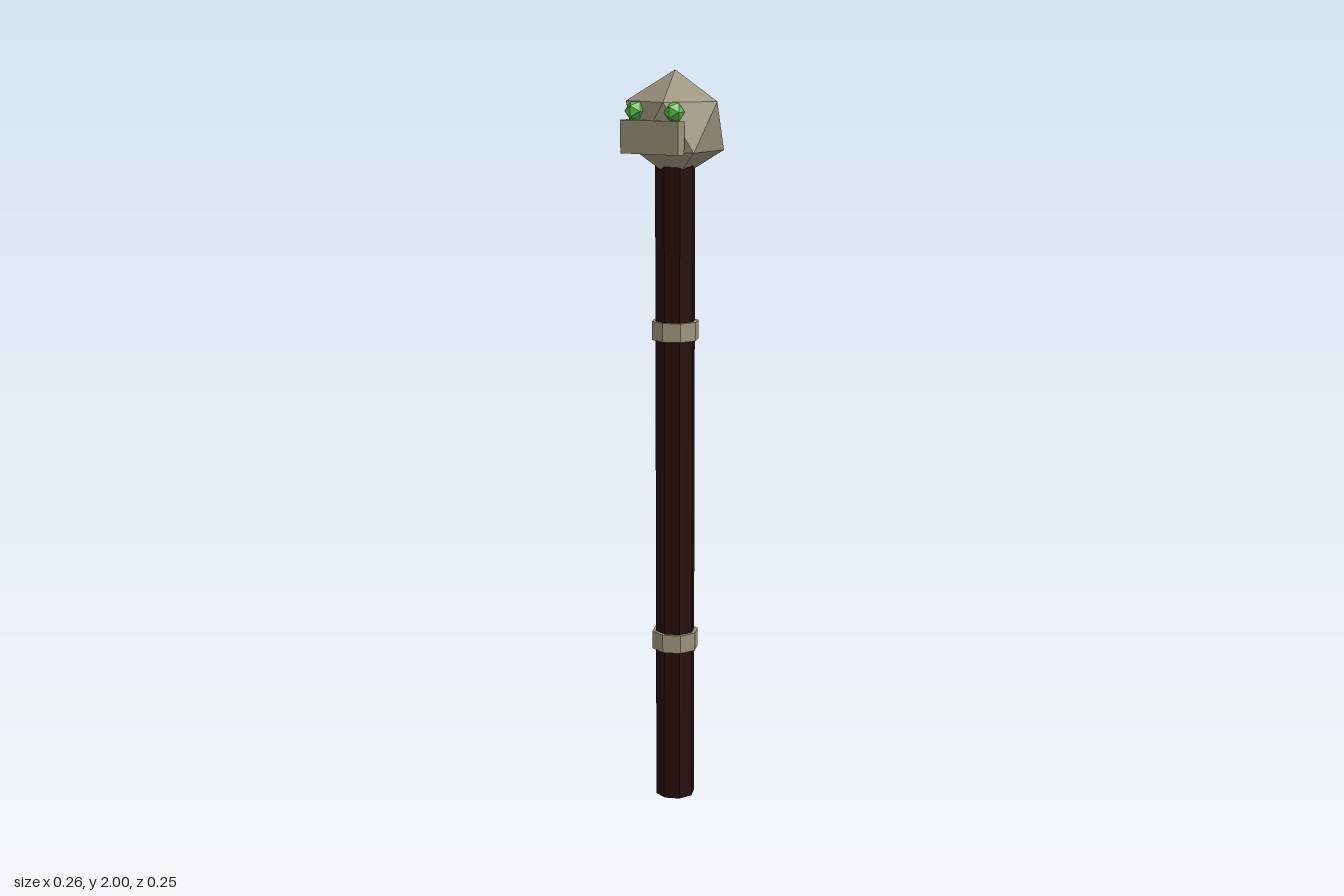
import * as THREE from 'three';

const material = (name, color) => {
  const m = new THREE.MeshStandardMaterial({ color });
  m.name = name;
  return m;
};

// Give every face its own normal for the low-poly look
function faceted(geometry) {
  const g = geometry.index ? geometry.toNonIndexed() : geometry;
  g.computeVertexNormals();
  return g;
}

export function createModel() {
  const group = new THREE.Group();
  group.name = 'staff';
  const wood = material('darkWood', 0x260d0c);
  const stone = material('stone', 0x9c937c);
  const gem = material('greenGem', 0x55bb44);
  const axisZ = -0.004;

  const add = (name, geometry, mat, x, y, z) => {
    const mesh = new THREE.Mesh(faceted(geometry), mat);
    mesh.name = name;
    mesh.position.set(x, y, z);
    group.add(mesh);
    return mesh;
  };

  // Octagonal shaft, ending inside the head
  const shaftTop = 1.76;
  add('shaft', new THREE.CylinderGeometry(0.054, 0.054, shaftTop, 8), wood, 0, shaftTop / 2, axisZ);

  // Two bands around the shaft
  add('lowerBand', new THREE.CylinderGeometry(0.064, 0.064, 0.05, 8), stone, 0, 0.453, axisZ);
  add('upperBand', new THREE.CylinderGeometry(0.064, 0.064, 0.05, 8), stone, 0, 1.316, axisZ);

  // Head: icosahedron turned to stand on one corner
  const headRadius = 0.1435;
  const head = new THREE.IcosahedronGeometry(headRadius, 0);
  head.rotateZ(-Math.atan(2 / (1 + Math.sqrt(5))));
  add('head', head, stone, 0, 2 - headRadius, axisZ);

  // Jaw block on the front of the head
  add('jaw', new THREE.BoxGeometry(0.176, 0.086, 0.031), stone, 0, 1.831, 0.108);

  // Gem eyes
  for (const [name, side] of [['leftEye', 1], ['rightEye', -1]]) {
    add(name, new THREE.IcosahedronGeometry(0.028, 0), gem, side * 0.059, 1.896, 0.096);
  }

  return group;
}
